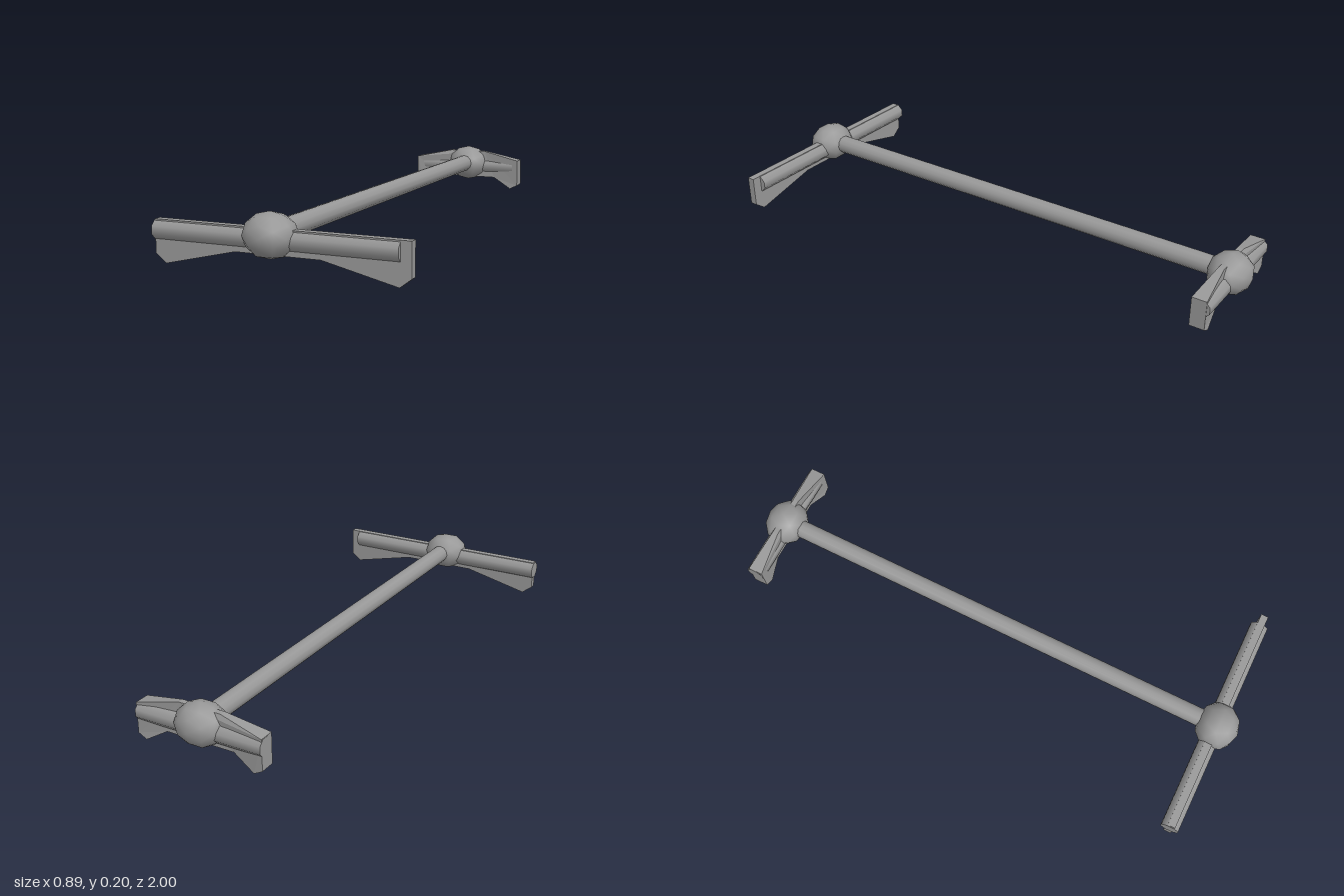
import * as THREE from 'three';

const AXIS_X = -0.027;

export function createModel() {
  const model = new THREE.Group();
  const material = new THREE.MeshStandardMaterial({ color: 0x989898 });

  function add(name, geometry, x, y, z) {
    const mesh = new THREE.Mesh(geometry, material);
    mesh.name = name;
    mesh.position.set(x, y, z);
    model.add(mesh);
    return mesh;
  }

  // Vertical plate cut from an outline; halfThickness(x) sets its depth along x
  function plate(points, halfThickness) {
    const shape = new THREE.Shape(points.map(([x, y]) => new THREE.Vector2(x, y)));
    const geometry = new THREE.ExtrudeGeometry(shape, { depth: 1, bevelEnabled: false });
    const p = geometry.attributes.position;
    for (let i = 0; i < p.count; i++) {
      p.setZ(i, (p.getZ(i) > 0.5 ? 1 : -1) * halfThickness(p.getX(i)));
    }
    geometry.computeVertexNormals();
    return geometry;
  }

  // Mirror a half outline, listed from bottom centre round to top centre
  const mirrored = (half) => [...half, ...half.map(([x, y]) => [-x, y]).reverse()];

  // Long rod joining the two hubs
  const rod = add('longRod', new THREE.CylinderGeometry(0.035, 0.035, 1.8, 12), AXIS_X, 0.125, 0);
  rod.rotation.x = Math.PI / 2;

  // Hub balls, a little wider than tall
  for (const [name, z] of [['frontHub', 0.919], ['rearHub', -0.919]]) {
    add(name, new THREE.IcosahedronGeometry(1, 1), AXIS_X, 0.121, z).scale.set(0.092, 0.076, 0.081);
  }

  // Cross bars running sideways through the hubs
  for (const [name, x0, x1, z] of [['frontCrossBar', -0.449, 0.41, 0.912], ['rearCrossBar', -0.27, 0.212, -0.922]]) {
    const bar = add(name, new THREE.CylinderGeometry(0.035, 0.035, x1 - x0, 8), (x0 + x1) / 2, 0.108, z);
    bar.rotation.z = Math.PI / 2;
    bar.rotation.x = Math.PI / 8;
  }

  // Front blade: wide, even thickness, dropping at the tips
  const frontOutline = mirrored([[0.15, 0.06], [0.407, 0], [0.446, 0.03], [0.446, 0.143]]);
  add('frontBlade', plate(frontOutline, () => 0.014), 0, 0, 0.914);

  // Rear blade: short, thin at the hub and flaring toward the tips
  const rearOutline = mirrored([[0.13, 0.06], [0.21, 0.013], [0.242, 0.03], [0.242, 0.142], [0.08, 0.177]]);
  const flare = (x) => THREE.MathUtils.mapLinear(THREE.MathUtils.clamp(Math.abs(x), 0.08, 0.21), 0.08, 0.21, 0.011, 0.028);
  add('rearBlade', plate(rearOutline, flare), AXIS_X, 0, -0.915);

  return model;
}
